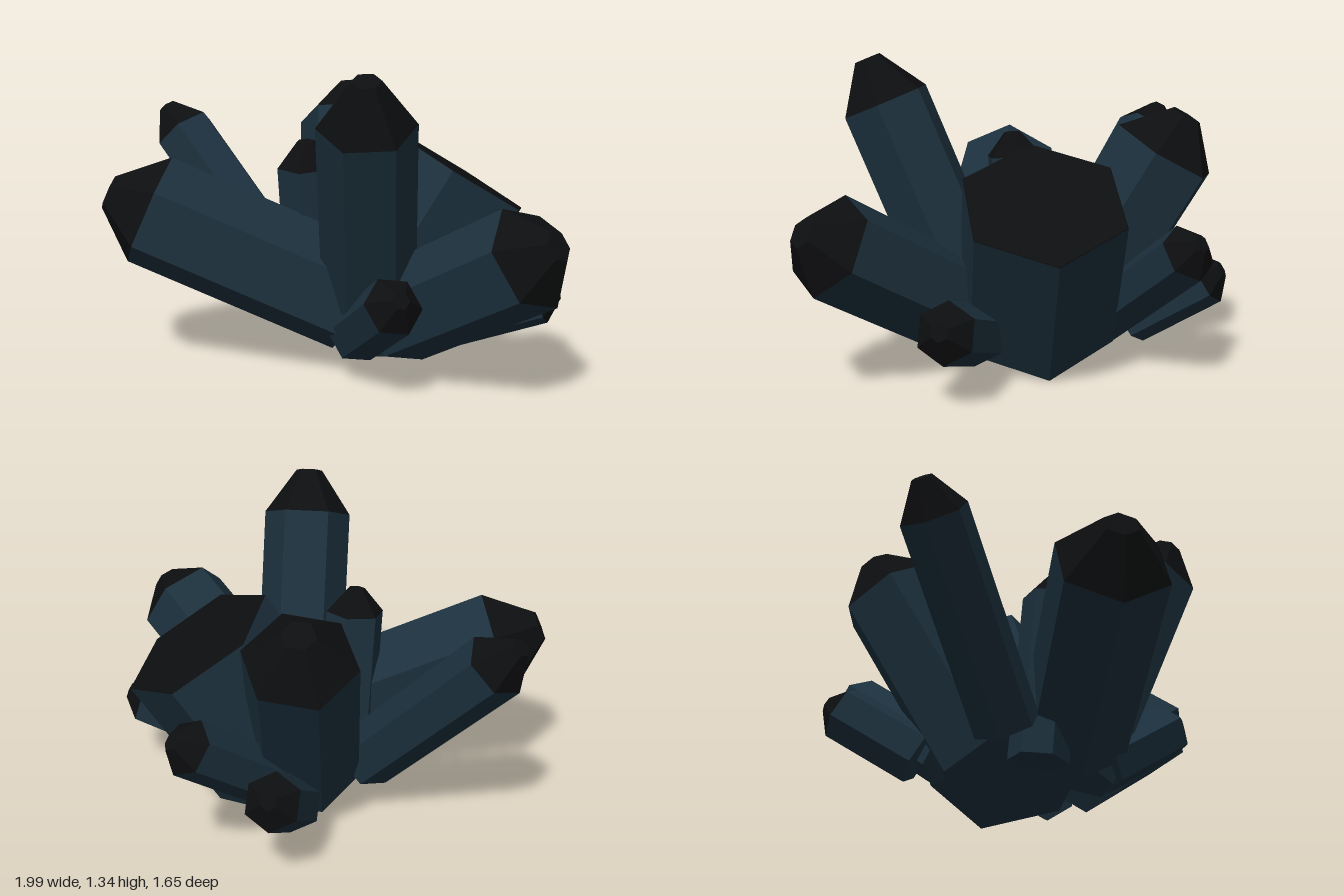
import * as THREE from 'three';

// Each crystal: centre of base, centre of shoulder ring, centre of tip, radius,
// and a direction towards one corner of its hexagonal section
const CRYSTALS = [
  { name: 'broadFlatCrystal', base: [0.12, 0.18, -0.01], ring: [0.46, 0.77, -0.17], radius: 0.36, corner: [0.27, -0.18, -0.16] },
  { name: 'tallFrontCrystal', base: [0.14, 0.15, 0.25], ring: [0.215, 1.12, 0.65], tip: [0.225, 1.31, 0.72], radius: 0.2, corner: [-0.05, -0.06, 0.18] },
  { name: 'longRightCrystal', base: [0.08, 0.29, 0.26], ring: [-0.77, 0.68, 0.45], tip: [-0.945, 0.74, 0.48], radius: 0.245, corner: [0.09, 0.22, -0.035] },
  { name: 'frontLeftCrystal', base: [0.27, 0.24, 0.29], ring: [0.85, 0.62, 0.6], tip: [0.965, 0.69, 0.66], radius: 0.22, corner: [-0.08, 0.2, 0] },
  { name: 'uprightCrystal', base: [-0.13, 0.11, 0.12], ring: [-0.15, 0.85, 0.19], tip: [-0.15, 0.955, 0.19], radius: 0.13, corner: [0, 0, 1] },
  { name: 'smallFrontCrystal', base: [0.11, 0.17, 0.38], ring: [0.33, 0.41, 0.68], tip: [0.345, 0.43, 0.76], radius: 0.125, corner: [-0.05, 0.13, 0] },
  { name: 'smallLeftCrystal', base: [0.46, 0.18, 0.13], ring: [0.85, 0.31, 0.1], tip: [0.93, 0.34, 0.1], radius: 0.13, corner: [0, 1, 0] },
  { name: 'backRightCrystal', base: [-0.26, 0.22, 0.0], ring: [-0.86, 0.88, -0.24], tip: [-0.965, 0.98, -0.28], radius: 0.145, corner: [0.1, 0.1, 0.02] },
  { name: 'largeBackCrystal', base: [-0.01, 0.19, -0.1], ring: [-0.12, 0.92, -0.52], tip: [-0.13, 1.07, -0.61], radius: 0.245, corner: [-1, 0, 0.05] },
  { name: 'slantedBackCrystal', base: [-0.01, 0.18, -0.28], ring: [0.29, 0.57, -0.73], tip: [0.33, 0.61, -0.8], radius: 0.125, corner: [0, 1, 0] },
  { name: 'lowBackCrystal', base: [-0.05, 0.17, -0.39], ring: [-0.07, 0.38, -0.73], tip: [-0.07, 0.41, -0.8], radius: 0.125, corner: [0, 1, 0] },
];

const bodyMaterial = new THREE.MeshStandardMaterial({ color: 0x1c303d, flatShading: true });
const tipMaterial = new THREE.MeshStandardMaterial({ color: 0x0d0e10, flatShading: true });

// Hexagonal frustum standing on its own origin, axis along +y, one corner on +z
function hexFrustum(name, topRadius, bottomRadius, height, material) {
  const geometry = new THREE.CylinderGeometry(topRadius, bottomRadius, height, 6);
  geometry.translate(0, height / 2, 0);
  const mesh = new THREE.Mesh(geometry, material);
  mesh.name = name;
  return mesh;
}

function createCrystal({ name, base, ring, tip, radius, corner }) {
  const crystal = new THREE.Group();
  crystal.name = name;
  const start = new THREE.Vector3(...base);
  const shoulder = new THREE.Vector3(...ring);
  const axis = shoulder.clone().sub(start);
  const length = axis.length();
  axis.normalize();

  // Prism body
  crystal.add(hexFrustum('crystalBody', radius, radius, length, bodyMaterial));

  // Tapered tip, or a thin flat cap on the broad crystal
  const tipHeight = tip ? new THREE.Vector3(...tip).distanceTo(shoulder) : 0.004;
  const tipRadius = tip ? radius * 0.3 : radius * 0.99;
  const cap = hexFrustum('crystalTip', tipRadius, radius, tipHeight, tipMaterial);
  cap.position.y = length;
  crystal.add(cap);

  // Aim along the axis and roll to the chosen corner
  const side = new THREE.Vector3(...corner).projectOnPlane(axis).normalize();
  const across = axis.clone().cross(side);
  crystal.quaternion.setFromRotationMatrix(new THREE.Matrix4().makeBasis(across, axis, side));
  crystal.position.copy(start);
  return crystal;
}

export function createModel() {
  const cluster = new THREE.Group();
  cluster.name = 'crystalCluster';
  CRYSTALS.forEach((spec) => cluster.add(createCrystal(spec)));
  return cluster;
}
